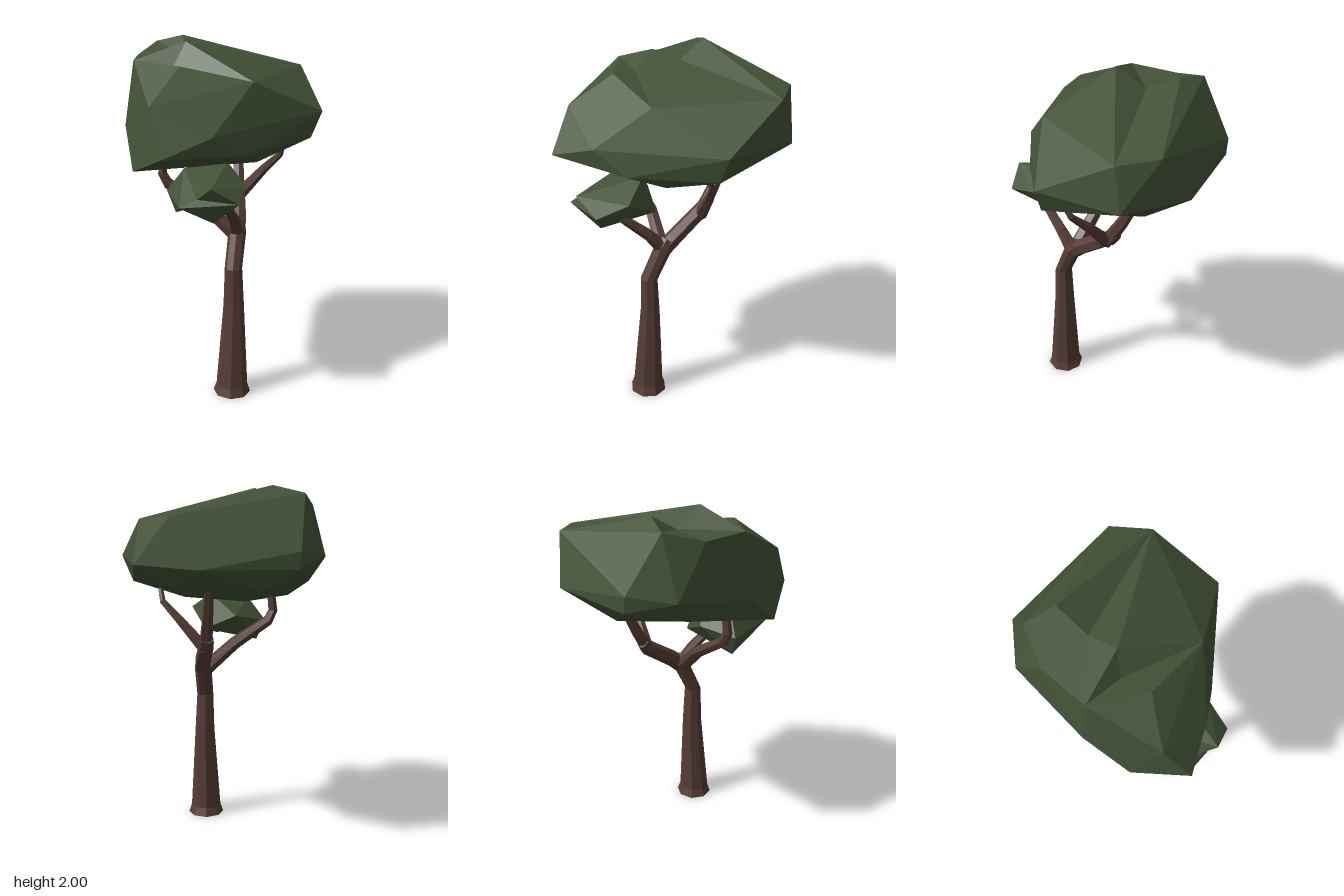
import * as THREE from 'three';
import { ConvexGeometry } from 'three/addons/geometries/ConvexGeometry.js';

const V = (p) => new THREE.Vector3(p[0], p[1], p[2]);

function material(name, color) {
  const m = new THREE.MeshStandardMaterial({ color });
  m.name = name;
  m.flatShading = true;
  return m;
}

// Faceted limb: rings of `sides` corners around nodes [x, y, z, radius], capped at both ends
function limbGeometry(nodes, sides, level = 0) {
  const pos = [], index = [];
  const up = new THREE.Vector3(0, 1, 0);
  const pts = nodes.map(V);
  nodes.forEach((n, i) => {
    const dir = pts[Math.min(i + 1, pts.length - 1)].clone().sub(pts[Math.max(i - 1, 0)]).normalize();
    if (i < level) dir.copy(up);
    const q = new THREE.Quaternion().setFromUnitVectors(up, dir);
    for (let k = 0; k < sides; k++) {
      const a = ((k + 0.5) / sides) * Math.PI * 2;
      const c = new THREE.Vector3(Math.sin(a) * n[3], 0, Math.cos(a) * n[3]).applyQuaternion(q).add(pts[i]);
      pos.push(c.x, c.y, c.z);
    }
  });
  for (let i = 0; i < nodes.length - 1; i++) {
    for (let k = 0; k < sides; k++) {
      const a = i * sides + k, b = i * sides + ((k + 1) % sides);
      index.push(a, b, b + sides, a, b + sides, a + sides);
    }
  }
  const top = (nodes.length - 1) * sides;
  for (let k = 1; k < sides - 1; k++) {
    index.push(0, k + 1, k, top, top + k, top + k + 1);
  }
  const g = new THREE.BufferGeometry();
  g.setAttribute('position', new THREE.Float32BufferAttribute(pos, 3));
  g.setIndex(index);
  const flat = g.toNonIndexed();
  flat.computeVertexNormals();
  return flat;
}

// Leaf mass: a convex hull in which each dent { from, to } is a hull corner pushed inwards
function leafGeometry(points, dents) {
  const g = new ConvexGeometry([...points, ...dents.map((d) => d.from)].map(V));
  const pos = g.getAttribute('position');
  const corner = new THREE.Vector3();
  for (let i = 0; i < pos.count; i++) {
    corner.fromBufferAttribute(pos, i);
    const dent = dents.find((d) => corner.distanceTo(V(d.from)) < 1e-4);
    if (dent) pos.setXYZ(i, ...dent.to);
  }
  g.computeVertexNormals();
  return g;
}

export function createModel() {
  const tree = new THREE.Group();
  tree.name = 'tree';
  const bark = material('bark brown', 0x573d36);
  const leaf = material('leaf green', 0x435337);

  const add = (name, geometry, mat) => {
    const mesh = new THREE.Mesh(geometry, mat);
    mesh.name = name;
    tree.add(mesh);
  };

  // Trunk with a flared foot and a bend towards the back
  add('trunk', limbGeometry([
    [0.225, 0, 0.155, 0.107], [0.225, 0.05, 0.155, 0.09], [0.223, 0.55, 0.138, 0.058],
    [0.22, 0.77, 0.14, 0.049], [0.2, 0.96, 0.055, 0.05], [0.19, 1.0, 0.03, 0.04],
  ], 8, 4), bark);

  // Branches
  const branches = {
    rightBranch: [[0.2, 0.93, 0.06, 0.044], [0.02, 1.1, 0.11, 0.038],
      [-0.155, 1.23, 0.215, 0.032], [-0.18, 1.29, 0.23, 0.028], [-0.17, 1.4, 0.22, 0.024]],
    backBranch: [[0.2, 0.94, 0.06, 0.046], [0.18, 1.0, 0, 0.048],
      [0.09, 1.13, -0.17, 0.044], [0.07, 1.17, -0.2, 0.036]],
    backRightTwig: [[0.1, 1.11, -0.16, 0.04], [0.06, 1.25, -0.235, 0.034], [0, 1.5, -0.35, 0.024]],
    backLeftTwig: [[0.1, 1.1, -0.16, 0.038], [0.245, 1.27, -0.19, 0.026],
      [0.345, 1.37, -0.19, 0.018], [0.39, 1.5, -0.14, 0.014]],
    frontBranch: [[0.2, 0.94, 0.05, 0.042], [0.225, 1.05, 0.14, 0.032],
      [0.245, 1.16, 0.27, 0.025], [0.25, 1.19, 0.3, 0.018]],
  };
  for (const [name, nodes] of Object.entries(branches)) add(name, limbGeometry(nodes, 6), bark);

  // Large crown
  add('crown', leafGeometry([
    // top
    [-0.3, 2, -0.215], [-0.107, 1.995, 0.085], [-0.47, 1.96, -0.2], [-0.46, 1.9, 0.02],
    [-0.33, 1.9, 0.26], [-0.02, 1.89, 0.3], [0.317, 1.81, 0.12], [0.105, 1.845, -0.625], [0.31, 1.83, -0.54],
    // rim
    [-0.06, 1.585, -0.655], [0.32, 1.6, -0.6], [0.568, 1.625, -0.235], [0.345, 1.45, 0.25],
    [0.07, 1.48, 0.645], [-0.055, 1.715, 0.545], [-0.375, 1.55, 0.29],
    [-0.572, 1.635, -0.145], [-0.505, 1.67, -0.39], [-0.495, 1.58, -0.395],
    // underside
    [-0.2, 1.355, 0.49], [-0.06, 1.355, 0.07], [0.31, 1.37, 0.05], [0.52, 1.48, -0.2],
    [0.12, 1.485, -0.53], [-0.46, 1.495, -0.05], [-0.3, 1.47, -0.4],
  ], [
    { from: [-0.33, 2.04, -0.03], to: [-0.2, 1.9, -0.065] },
    { from: [0, 1.9425, 0.2], to: [-0.13, 1.87, 0.18] },
    { from: [0.24, 1.6, 0.44], to: [0.235, 1.565, 0.425] },
  ]), leaf);

  // Small leaf clump below the crown
  add('lowerClump', leafGeometry([
    [0.388, 1.24, 0.42], [0.28, 1.33, 0.52], [0.19, 1.385, 0.165], [0, 1.355, 0.3],
    [-0.11, 1.22, 0.3], [0.12, 1.22, 0.56], [0.235, 1.11, 0.4], [-0.055, 1.1, 0.3],
    [0.345, 1.29, 0.25], [0.2, 1.18, 0.095], [0.02, 1.26, 0.13],
  ], [
    { from: [0.1, 1.08, 0.4], to: [0.12, 1.185, 0.39] },
    { from: [0.2, 1.28, 0.56], to: [0.19, 1.26, 0.5] },
  ]), leaf);

  return tree;
}
